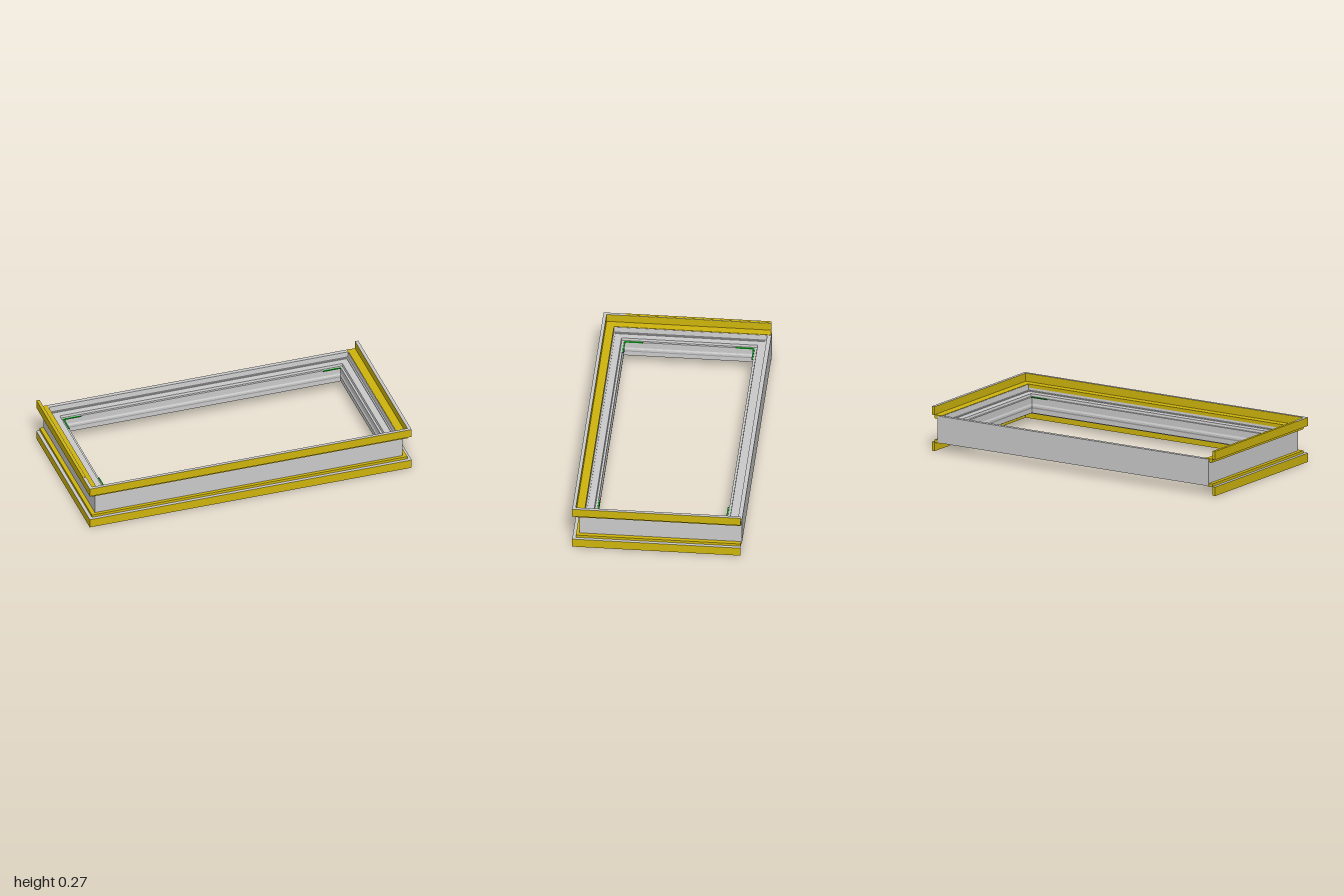
import * as THREE from 'three';

const grey = new THREE.MeshStandardMaterial({ color: 0xcccccc });
const gold = new THREE.MeshStandardMaterial({ color: 0xd0b60d });
const green = new THREE.MeshStandardMaterial({ color: 0x10b020 });

// Sweeps a closed profile of [half width, y] around a mitred rectangle.
function mitredRing(profile) {
  const corners = [[1, 1], [1, -1], [-1, -1], [-1, 1]];
  const at = (k, i) => {
    const [sx, sz] = corners[k % 4], [d, y] = profile[i % profile.length];
    return [sx * d, y, sz * (d - 0.475) - 0.02];
  };
  const pos = [];
  for (let k = 0; k < 4; k++) {
    for (let i = 0; i < profile.length; i++) {
      const a = at(k, i), b = at(k + 1, i), c = at(k + 1, i + 1), d = at(k, i + 1);
      pos.push(...a, ...b, ...c, ...a, ...c, ...d);
    }
  }
  const geo = new THREE.BufferGeometry();
  geo.setAttribute('position', new THREE.Float32BufferAttribute(pos, 3));
  geo.computeVertexNormals();
  return geo;
}

// U-shaped strip along the front and both sides, open at the back.
function uStrip(inner, outer, y0, y1) {
  const back = 0.495;
  const pts = [
    [-outer, back], [-outer, 0.5 - outer], [outer, 0.5 - outer], [outer, back],
    [inner, back], [inner, 0.5 - inner], [-inner, 0.5 - inner], [-inner, back],
  ];
  const shape = new THREE.Shape(pts.map(([x, y]) => new THREE.Vector2(x, y)));
  const geo = new THREE.ExtrudeGeometry(shape, { depth: y1 - y0, bevelEnabled: false });
  return geo.rotateX(-Math.PI / 2).translate(0, y0, 0);
}

export function createModel() {
  const model = new THREE.Group();
  model.name = 'rectangularFrame';
  const add = (name, geo, mat) => {
    const mesh = new THREE.Mesh(geo, mat);
    mesh.name = name;
    model.add(mesh);
    return mesh;
  };
  const box = (name, mat, w, h, d, x, y, z) =>
    add(name, new THREE.BoxGeometry(w, h, d), mat).position.set(x, y, z);

  // Main frame: up the outside, inward over the stepped top, down the opening, out below
  add('frame', mitredRing([
    [0.955, 0.055], [0.955, 0.218],
    [0.93, 0.218], [0.927, 0.185], [0.918, 0.185], [0.918, 0.18],
    [0.878, 0.18], [0.875, 0.165], [0.862, 0.165],
    [0.862, 0.125], [0.858, 0.115], [0.858, 0.105], [0.862, 0.095],
    [0.862, 0.068], [0.875, 0.068], [0.878, 0.06], [0.918, 0.06],
    [0.92, 0.072], [0.93, 0.072], [0.93, 0.055],
  ]), grey);

  // Upper and lower trims: a flat shelf with an upright lip on its outer edge
  add('upperShelf', uStrip(0.932, 0.98, 0.2, 0.221), gold);
  add('upperLip', uStrip(0.98, 1, 0.219, 0.27), [grey, gold]);
  add('lowerShelf', uStrip(0.932, 0.98, 0.052, 0.07), gold);
  add('lowerLip', uStrip(0.98, 1, 0, 0.054), [grey, gold]);
  box('leftLipCap', gold, 0.016, 0.002, 0.865, -0.992, 0.27, -0.0625);

  // Thin clips along the corners of the opening
  for (const sx of [-1, 1]) {
    for (const z of [-0.405, 0.365]) {
      const toward = z < 0 ? 1 : -1;
      box('cornerClipLong', green, 0.11, 0.006, 0.008, sx * 0.806, 0.165, z + toward * 0.003);
      if (sx < 0) box('cornerClipShort', green, 0.008, 0.006, 0.11, sx * 0.862, 0.165, z + toward * 0.055);
    }
  }
  return model;
}
